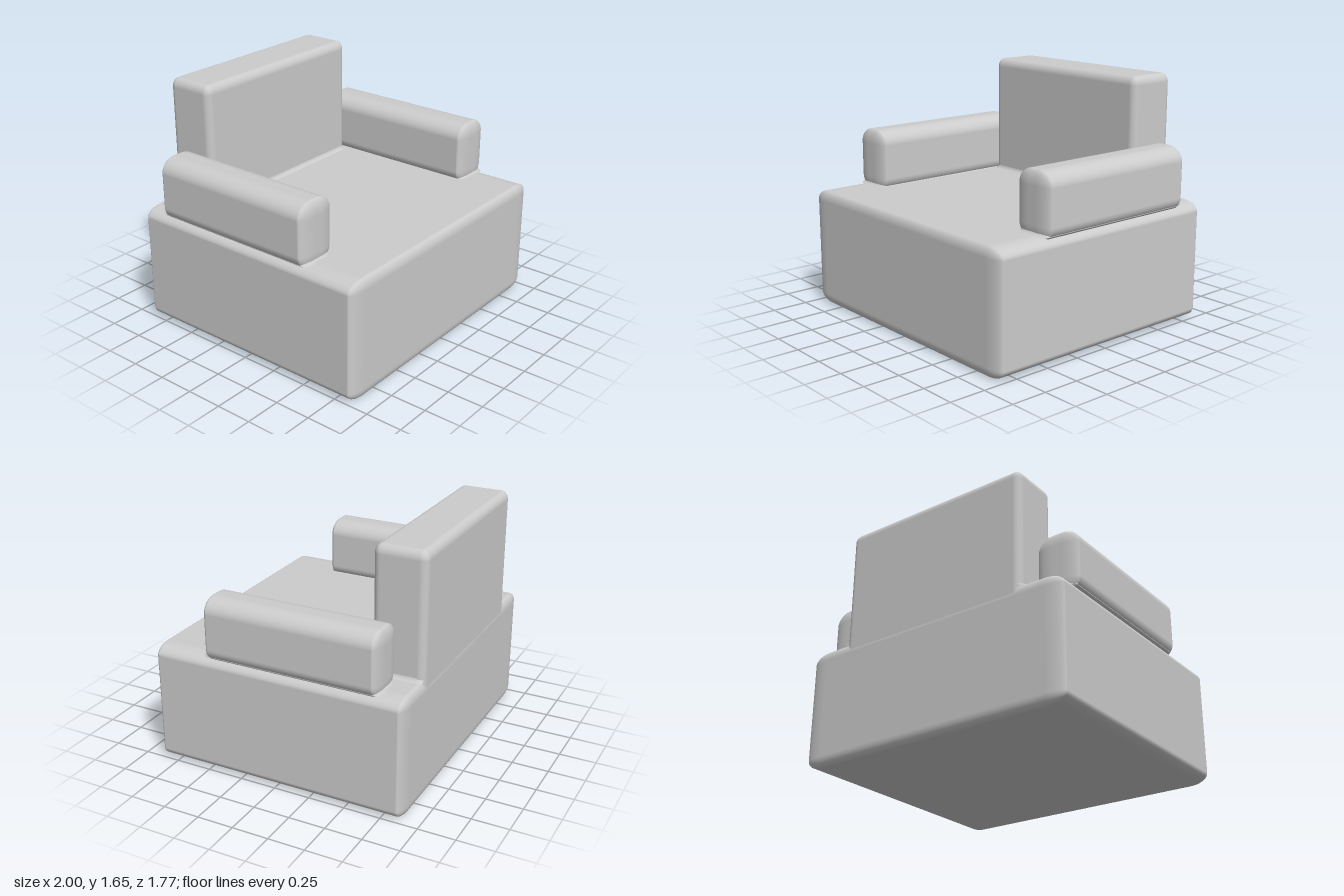
import * as THREE from 'three';

const material = new THREE.MeshStandardMaterial({ color: 0xcccccc });

// Cushion block between two corners, with a separate rounding radius per axis
function softBox(name, min, max, radii) {
  const n = 13;
  const geo = new THREE.BoxGeometry(2, 2, 2, n, n, n);
  const pos = geo.attributes.position, nor = geo.attributes.normal;
  const lo = new THREE.Vector3(...min), hi = new THREE.Vector3(...max);
  const centre = lo.clone().add(hi).multiplyScalar(0.5);
  const r = new THREE.Vector3(...radii);
  const core = hi.clone().sub(lo).multiplyScalar(0.5).sub(r);
  const p = new THREE.Vector3(), d = new THREE.Vector3(), s = new THREE.Vector3();
  const ease = (v) => Math.sign(v) * Math.tan(Math.max(0, (Math.abs(v) - 1 / n) / (1 - 1 / n)) * Math.PI / 4);
  for (let i = 0; i < pos.count; i++) {
    p.fromBufferAttribute(pos, i);
    s.set(Math.sign(p.x), Math.sign(p.y), Math.sign(p.z));
    d.set(ease(p.x), ease(p.y), ease(p.z)).normalize();
    p.copy(s).multiply(core).add(centre).add(d.clone().multiply(r));
    pos.setXYZ(i, p.x, p.y, p.z);
    d.divide(r).normalize();
    nor.setXYZ(i, d.x, d.y, d.z);
  }
  const mesh = new THREE.Mesh(geo, material);
  mesh.name = name;
  return mesh;
}

// Concave fillet blending an upright block into the seat, kept inside the base
function fillet(name, [x0, z0], [x1, z1], [rx, rz], y, size) {
  const rows = 6, corner = 6, loop = 4 * (corner + 1);
  const verts = [], index = [];
  const cx = (x0 + x1) / 2, cz = (z0 + z1) / 2;
  for (let k = 0; k <= rows; k++) {
    const a = (k / rows) * Math.PI / 2;
    const out = size * (1 - Math.sin(a));
    for (let q = 0; q < 4; q++) {
      const sx = q === 0 || q === 3 ? 1 : -1, sz = q < 2 ? -1 : 1;
      for (let j = 0; j <= corner; j++) {
        const t = (q + j / corner) * Math.PI / 2;
        const x = cx + sx * ((x1 - x0) / 2 - rx) + Math.cos(t) * (rx + out);
        const z = cz + sz * ((z1 - z0) / 2 - rz) - Math.sin(t) * (rz + out);
        verts.push(THREE.MathUtils.clamp(x, -0.98, 0.98), y + size * (1 - Math.cos(a)), Math.max(z, -0.88));
      }
    }
  }
  for (let k = 0; k < rows; k++) {
    for (let i = 0; i < loop; i++) {
      const a = k * loop + i, b = k * loop + (i + 1) % loop;
      index.push(a, b, b + loop, a, b + loop, a + loop);
    }
  }
  const geo = new THREE.BufferGeometry();
  geo.setAttribute('position', new THREE.Float32BufferAttribute(verts, 3));
  geo.setIndex(index);
  geo.computeVertexNormals();
  const mesh = new THREE.Mesh(geo, material);
  mesh.name = name;
  return mesh;
}

export function createModel() {
  const chair = new THREE.Group();
  chair.name = 'armchair';

  // Seat block
  chair.add(softBox('seatBase', [-1, 0, -0.89], [1, 0.82, 0.885], [0.13, 0.07, 0.04]));

  // Backrest, running down into the seat block
  chair.add(softBox('backrest', [-0.702, 0.4, -0.888], [0.702, 1.655, -0.535], [0.05, 0.06, 0.05]));
  chair.add(fillet('backrestFillet', [-0.7, -0.88], [0.7, -0.537], [0.05, 0.05], 0.817, 0.04));

  // Armrests, pinched where they meet the seat
  for (const [side, s] of [['left', 1], ['right', -1]]) {
    const xs = [0.703 * s, s].sort((a, b) => a - b);
    const neck = [0.735 * s, 0.97 * s].sort((a, b) => a - b);
    chair.add(softBox(side + 'Armrest', [xs[0], 0.775, -0.715], [xs[1], 1.215, 0.505], [0.12, 0.1, 0.04]));
    chair.add(fillet(side + 'ArmrestFillet', [neck[0], -0.705], [neck[1], 0.495], [0.09, 0.03], 0.816, 0.035));
  }
  return chair;
}
